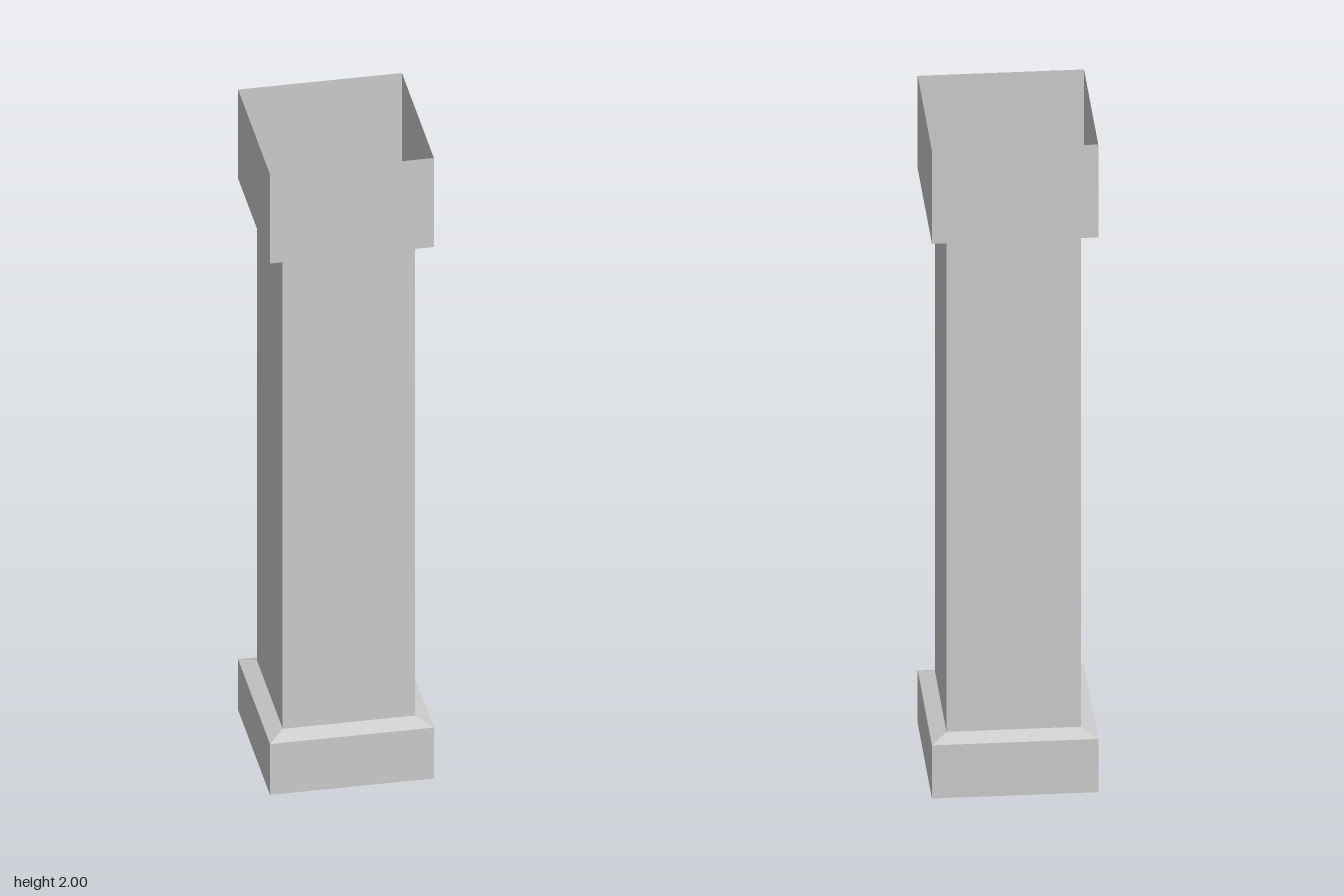
import * as THREE from 'three';

const material = new THREE.MeshStandardMaterial({
  color: 0xcccccc, flatShading: true, side: THREE.DoubleSide,
});

// Open square tube section between two heights, given half widths
function squareSection(name, y0, half0, y1, half1) {
  const geometry = new THREE.CylinderGeometry(
    half1 * Math.SQRT2, half0 * Math.SQRT2, y1 - y0, 4, 1, true, Math.PI / 4,
  ).toNonIndexed();
  geometry.computeVertexNormals();
  geometry.translate(0, (y0 + y1) / 2, 0);
  const mesh = new THREE.Mesh(geometry, material);
  mesh.name = name;
  return mesh;
}

export function createModel() {
  const group = new THREE.Group();
  group.name = 'squareColumn';
  const wide = 0.23, narrow = 0.186;

  // Hollow column, from the ground up
  group.add(
    squareSection('base', 0, wide, 0.164, wide),
    squareSection('baseBevel', 0.164, wide, 0.182, narrow),
    squareSection('shaft', 0.182, narrow, 1.697, narrow),
    squareSection('capitalBevel', 1.697, narrow, 1.713, wide),
    squareSection('capital', 1.713, wide, 2, wide),
  );
  return group;
}
